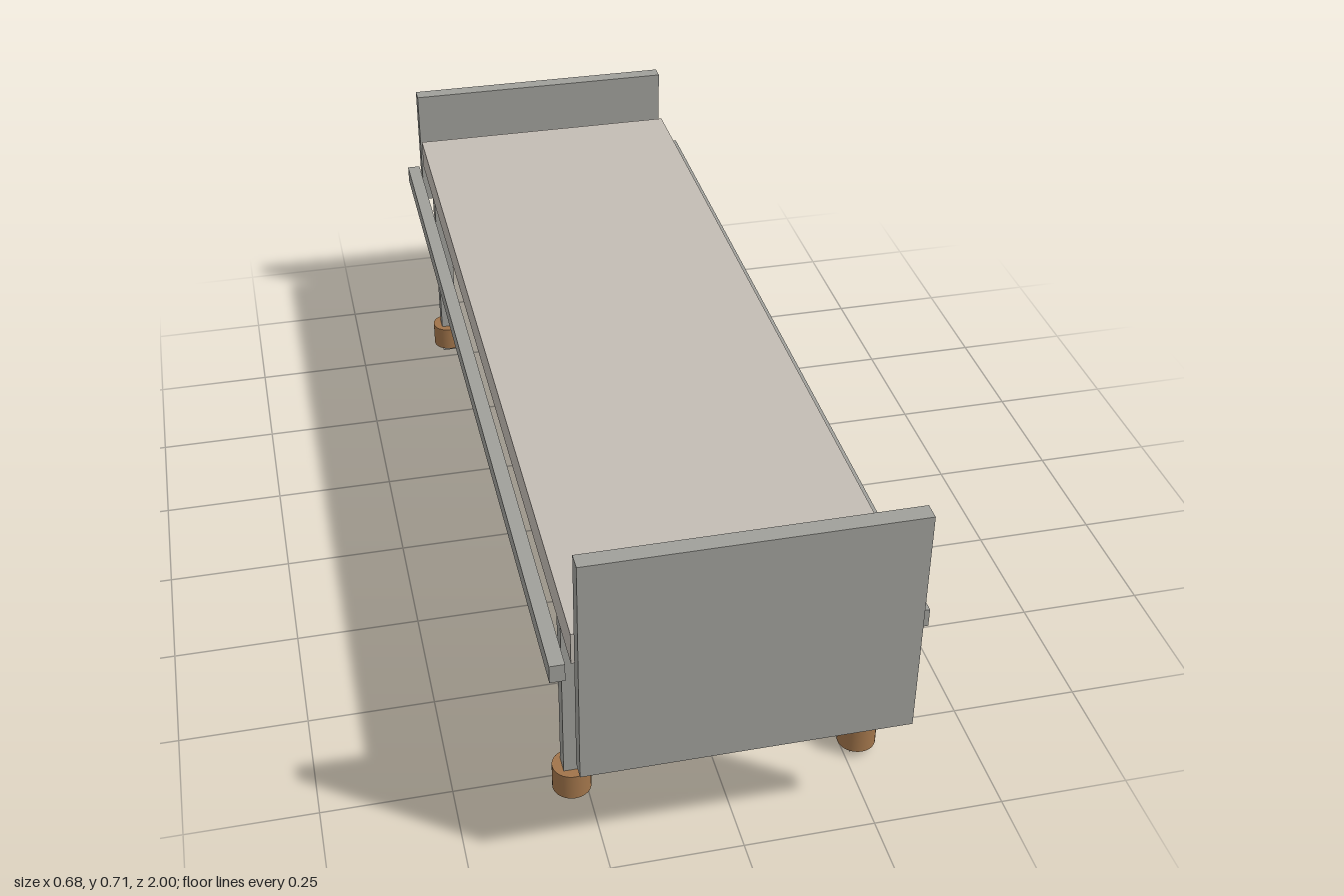
import * as THREE from 'three';

export function createModel() {
  const bed = new THREE.Group();
  bed.name = 'bed';
  const frame = new THREE.MeshStandardMaterial({ color: 0x9f9f9a });
  const fabric = new THREE.MeshStandardMaterial({ color: 0xc3bcb4 });
  const wood = new THREE.MeshStandardMaterial({ color: 0xa0744a });

  const add = (name, geometry, material, x, y, z) => {
    const mesh = new THREE.Mesh(geometry, material);
    mesh.name = name;
    mesh.position.set(x, y, z);
    bed.add(mesh);
  };

  // Box given by its centre in x and z and its bottom and top heights
  const addBox = (name, material, width, depth, bottom, top, x, z) =>
    add(name, new THREE.BoxGeometry(width, top - bottom, depth), material, x, (bottom + top) / 2, z);

  // Mattress and the two end boards, the front one taller
  addBox('mattress', fabric, 0.606, 1.87, 0.445, 0.51, 0, 0);
  addBox('headboard', frame, 0.606, 0.033, 0.24, 0.706, 0, 0.9835);
  addBox('footboard', frame, 0.606, 0.033, 0.335, 0.615, 0, -0.9835);

  const cupGeometry = new THREE.CylinderGeometry(0.037, 0.037, 0.055, 32);

  for (const [side, sx] of [['left', 1], ['right', -1]]) {
    // Side rail, set slightly off the mattress
    addBox(`${side}Rail`, frame, 0.028, 1.87, 0.408, 0.445, sx * 0.327, 0);

    // Square legs, each with a round wooden foot cup just above the floor
    for (const [end, sz] of [['Front', 1], ['Back', -1]]) {
      addBox(`${side}${end}Leg`, frame, 0.036, 0.034, 0, 0.445, sx * 0.28, sz * 0.795);
      add(`${side}${end}FootCup`, cupGeometry, wood, sx * 0.28, 0.0425, sz * 0.795);
    }
  }
  return bed;
}
